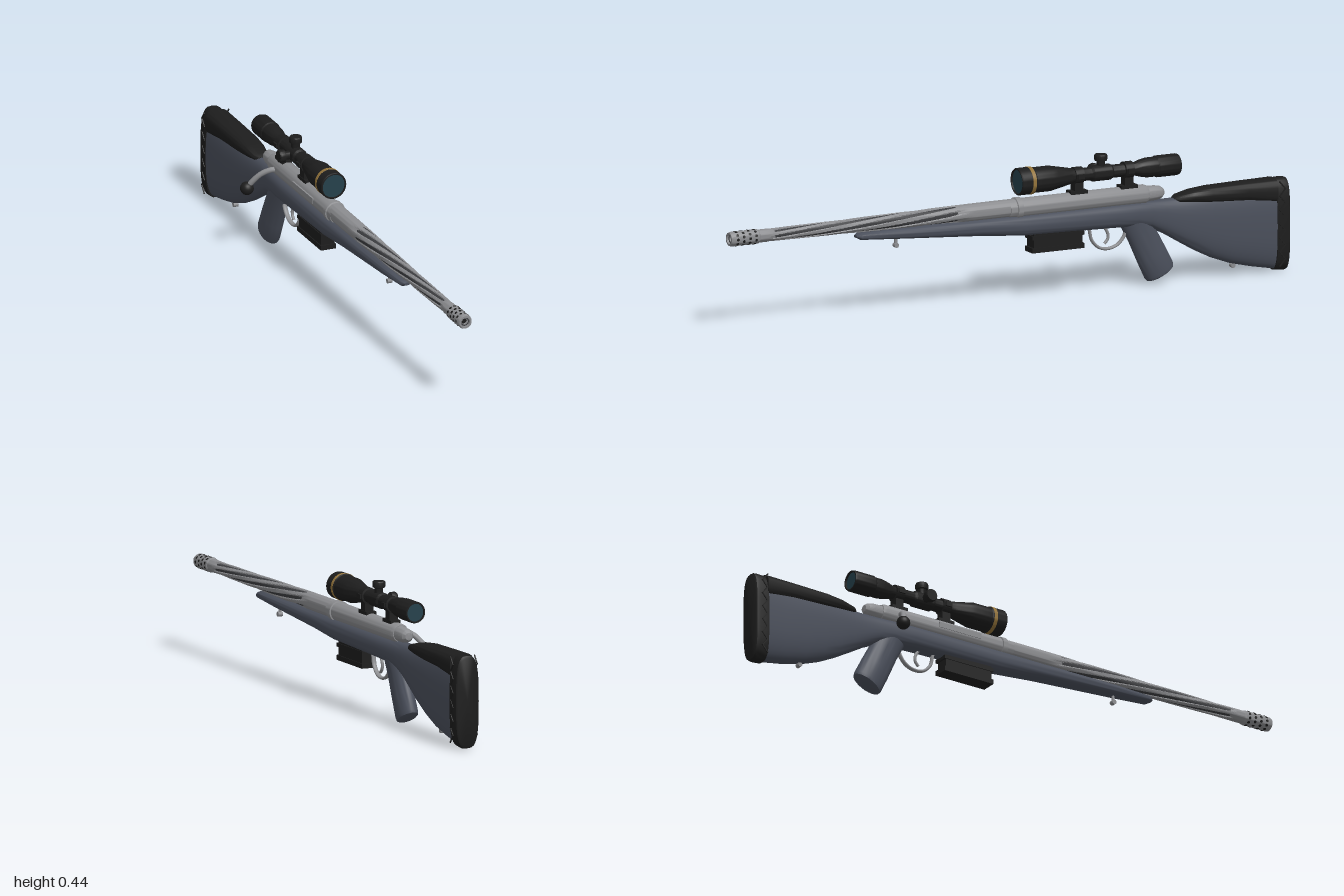
import * as THREE from 'three';
import { toCreasedNormals } from 'three/addons/utils/BufferGeometryUtils.js';

const mat = (color) => new THREE.MeshStandardMaterial({ color });
const V = (x, y, z) => new THREE.Vector3(x, y, z);

// Closed skin over rings of points; rings run from front (+z) to back
function skin(rings, crease = 0.7) {
  const n = rings[0].length, pos = [];
  const tri = (...p) => p.forEach((v) => pos.push(v.x, v.y, v.z));
  for (let i = 0; i < rings.length - 1; i++) {
    for (let j = 0; j < n; j++) {
      const k = (j + 1) % n, a = rings[i], b = rings[i + 1];
      tri(a[j], b[j], a[k]);
      tri(a[k], b[j], b[k]);
    }
  }
  const mid = (r) => r.reduce((s, p) => s.add(p), V(0, 0, 0)).divideScalar(n);
  const first = rings[0], last = rings[rings.length - 1];
  const c0 = mid(first), c1 = mid(last);
  for (let j = 0; j < n; j++) {
    const k = (j + 1) % n;
    tri(c0, first[j], first[k]);
    tri(c1, last[k], last[j]);
  }
  const g = new THREE.BufferGeometry();
  g.setAttribute('position', new THREE.Float32BufferAttribute(pos, 3));
  return toCreasedNormals(g, crease);
}

// Rounded cross-sections, each [z, bottom, top, half width]
function loft(sections, power = 2.6, n = 32) {
  const f = (t) => Math.sign(t) * Math.abs(t) ** (2 / power);
  return skin(sections.map(([z, lo, hi, w]) => Array.from({ length: n }, (_, j) => {
    const a = (j / n) * Math.PI * 2;
    return V(w * f(Math.cos(a)), (lo + hi) / 2 + ((hi - lo) / 2) * f(Math.sin(a)), z);
  })));
}

// Turned part along z, profile [radius, z] from back to front
function turned(profile, n = 32) {
  const g = new THREE.LatheGeometry(profile.map(([r, z]) => new THREE.Vector2(r, z)), n);
  return toCreasedNormals(g.rotateX(Math.PI / 2), 0.5);
}

const tube = (pts, r) => new THREE.TubeGeometry(new THREE.CatmullRomCurve3(pts), 28, r, 10);

export function createModel() {
  const model = new THREE.Group();
  model.position.x = 0.041;
  const steel = mat(0x8c8d90), dark = mat(0x3c3d40), black = mat(0x1d1d1d);
  const paint = mat(0x4a4f5b), gold = mat(0x94743a), glass = mat(0x25404b);
  const add = (name, geo, m, x = 0, y = 0, z = 0, parent = model) => {
    const mesh = new THREE.Mesh(geo, m);
    mesh.name = name;
    mesh.position.set(x, y, z);
    parent.add(mesh);
    return mesh;
  };
  const AXIS = 0.3, SIGHT = 0.383;

  // Stock from fore-end tip to butt
  add('stock', loft([
    [0.545, 0.26, 0.268, 0.01], [0.53, 0.252, 0.275, 0.022], [0.4, 0.243, 0.277, 0.029],
    [0.1, 0.222, 0.277, 0.034], [-0.05, 0.208, 0.277, 0.038], [-0.38, 0.2, 0.277, 0.038],
    [-0.46, 0.196, 0.276, 0.035], [-0.51, 0.187, 0.275, 0.032], [-0.56, 0.163, 0.275, 0.031],
    [-0.61, 0.133, 0.275, 0.033], [-0.67, 0.098, 0.28, 0.036], [-0.73, 0.068, 0.285, 0.038],
    [-0.8, 0.042, 0.288, 0.04], [-0.88, 0.023, 0.292, 0.041], [-0.96, 0.008, 0.296, 0.041],
  ]), paint);
  add('cheekRest', loft([
    [-0.595, 0.265, 0.276, 0.012], [-0.61, 0.261, 0.284, 0.026], [-0.66, 0.256, 0.295, 0.035],
    [-0.72, 0.25, 0.301, 0.039], [-0.85, 0.24, 0.304, 0.041], [-0.955, 0.222, 0.306, 0.042],
  ], 3), black);
  add('buttPad', loft([
    [-0.952, 0.006, 0.304, 0.042], [-0.985, 0.003, 0.306, 0.042],
    [-0.996, 0.006, 0.304, 0.04], [-1, 0.014, 0.296, 0.035],
  ], 3.2), black);
  // Criss-cross strips on both sides of the pad
  const strip = new THREE.BoxGeometry(0.003, 0.034, 0.004);
  for (const side of [-1, 1]) {
    for (let i = 0; i < 12; i++) {
      const s = add('padStrip', strip, black, side * 0.0425, 0.035 + i * 0.0228, -0.969);
      s.rotation.x = i % 2 ? 0.7 : -0.7;
    }
  }

  // Pistol grip, leaning back
  const gripShape = turned([
    [0, -0.106], [0.043, -0.106], [0.051, -0.102], [0.054, -0.092], [0.053, -0.03],
    [0.05, 0.05], [0.052, 0.105], [0, 0.105],
  ]).rotateX(-Math.PI / 2).scale(0.6, 1, 1);
  add('grip', gripShape, paint, 0, 0.127, -0.504).rotation.x = 0.464;

  // Barrel with twisting flutes; a dark core shows in the grooves
  const radius = (z) => 0.021 + 0.008 * THREE.MathUtils.smoothstep(0.87 - z, 0, 0.85);
  const rings = [];
  for (let i = 0; i <= 90; i++) {
    const z = 0.91 - (i / 90) * 0.96;
    const fade = THREE.MathUtils.smoothstep(z, 0.12, 0.24) * (1 - THREE.MathUtils.smoothstep(z, 0.82, 0.87));
    rings.push(Array.from({ length: 72 }, (_, j) => {
      const a = (j / 72) * Math.PI * 2;
      const groove = Math.max(0, Math.cos(6 * (a + 4 * z)) + 0.15);
      const r = radius(z) - 0.006 * fade * Math.min(1, groove * 1.4);
      return V(r * Math.cos(a), r * Math.sin(a), z);
    }));
  }
  add('barrel', skin(rings, 0.5), steel, 0, AXIS);
  const core = [];
  for (let z = 0.12; z < 0.88; z += 0.05) core.push([radius(z) - 0.0035, z]);
  add('fluteCore', turned(core), dark, 0, AXIS);

  // Muzzle brake with rows of ports
  const brake = new THREE.Group();
  brake.name = 'muzzleBrake';
  brake.position.y = AXIS;
  model.add(brake);
  add('brakeBody', turned([
    [0.02, 0.895], [0.0235, 0.9], [0.0235, 0.994], [0.021, 1], [0.015, 1],
    [0.014, 0.992], [0.009, 0.992], [0.009, 0.93], [0, 0.93],
  ]), steel, 0, 0, 0, brake);
  add('bore', new THREE.CircleGeometry(0.009, 20), black, 0, 0, 0.985, brake);
  add('crownRecess', new THREE.RingGeometry(0.0105, 0.0145, 28), dark, 0, 0, 0.9935, brake);
  const port = new THREE.CylinderGeometry(0.0048, 0.0048, 0.003, 10);
  for (let row = 0; row < 4; row++) {
    for (let i = 0; i < 10; i++) {
      const a = ((i + (row % 2) / 2) / 10) * Math.PI * 2;
      const p = add('port', port, black, -Math.sin(a) * 0.0227, Math.cos(a) * 0.0227, 0.912 + row * 0.022, brake);
      p.rotation.z = a;
    }
  }

  // Receiver, bolt and handle
  add('receiver', turned([
    [0, -0.5], [0.027, -0.5], [0.031, -0.49], [0.031, -0.045], [0.035, -0.044],
    [0.035, -0.026], [0.031, -0.024], [0.03, 0], [0, 0],
  ]), steel, 0, AXIS - 0.002);
  add('boltShroud', turned([
    [0, -0.562], [0.012, -0.56], [0.02, -0.55], [0.024, -0.53], [0.025, -0.49], [0, -0.49],
  ]), steel, 0, AXIS - 0.002);
  add('ejectionPort', new THREE.BoxGeometry(0.006, 0.018, 0.16), steel, -0.03, AXIS + 0.002, -0.21);
  add('boltHandle', tube([
    V(-0.015, 0.296, -0.435), V(-0.04, 0.295, -0.442), V(-0.068, 0.281, -0.455),
    V(-0.09, 0.257, -0.468), V(-0.104, 0.235, -0.478),
  ], 0.009), steel);
  add('boltKnob', new THREE.SphereGeometry(0.022, 24, 16), black, -0.106, 0.229, -0.48);

  // Magazine
  add('magazine', new THREE.BoxGeometry(0.046, 0.06, 0.175), black, 0, 0.187, -0.172);
  add('magazineFloor', new THREE.BoxGeometry(0.052, 0.016, 0.187), black, 0, 0.158, -0.172);
  add('magazineCollar', new THREE.BoxGeometry(0.052, 0.012, 0.187), black, 0, 0.199, -0.172);

  // Trigger and guard
  add('triggerGuard', tube([
    V(0, 0.205, -0.295), V(0, 0.165, -0.305), V(0, 0.14, -0.33), V(0, 0.133, -0.36),
    V(0, 0.142, -0.395), V(0, 0.168, -0.42), V(0, 0.2, -0.43),
  ], 0.005).scale(1.6, 1, 1), steel);
  add('trigger', tube([
    V(0, 0.205, -0.35), V(0, 0.183, -0.362), V(0, 0.165, -0.362), V(0, 0.15, -0.35),
  ], 0.005), steel);

  // Sling studs
  for (const [y, z] of [[0.235, 0.4], [0.048, -0.81]]) {
    add('slingStud', new THREE.CylinderGeometry(0.005, 0.005, 0.03, 12), steel, 0, y, z);
    add('slingStudHead', new THREE.CylinderGeometry(0.008, 0.008, 0.016, 12), steel, 0, y - 0.014, z).rotation.z = Math.PI / 2;
  }

  // Scope
  const scope = new THREE.Group();
  scope.name = 'scope';
  scope.position.y = SIGHT;
  model.add(scope);
  add('scopeBody', turned([
    [0.029, -0.602], [0.029, -0.612], [0.033, -0.612], [0.035, -0.606], [0.035, -0.535],
    [0.032, -0.53], [0.032, -0.5], [0.027, -0.475], [0.021, -0.455], [0.021, -0.375],
    [0.026, -0.368], [0.026, -0.305], [0.021, -0.298], [0.021, -0.245], [0.027, -0.22],
    [0.037, -0.17], [0.041, -0.15], [0.041, -0.09], [0.044, -0.086], [0.044, -0.038],
    [0.042, -0.035], [0.039, -0.035], [0.039, -0.045],
  ], 40), black, 0, 0, 0, scope);
  add('goldBand', turned([[0.043, -0.086], [0.0448, -0.085], [0.0448, -0.073], [0.043, -0.072]], 40), gold, 0, 0, 0, scope);
  add('frontLens', new THREE.CircleGeometry(0.04, 36), glass, 0, 0, -0.041, scope);
  add('rearLens', new THREE.CircleGeometry(0.03, 36), glass, 0, 0, -0.606, scope).rotation.y = Math.PI;

  // Adjustment turrets on the top and right
  const turret = toCreasedNormals(new THREE.LatheGeometry([
    [0.014, 0], [0.014, 0.038], [0.02, 0.04], [0.021, 0.044], [0.021, 0.056], [0.019, 0.06], [0, 0.06],
  ].map(([r, y]) => new THREE.Vector2(r, y)), 24), 0.5);
  add('topTurret', turret, black, 0, 0, -0.337, scope);
  add('sideTurret', turret, black, 0, 0, -0.337, scope).rotation.z = Math.PI / 2;

  // Mount rings and bases
  for (const z of [-0.252, -0.432]) {
    add('mountRing', turned([[0.02, -0.016], [0.027, -0.015], [0.027, 0.015], [0.02, 0.016]]), black, 0, 0, z, scope);
    add('mountPost', new THREE.BoxGeometry(0.03, 0.036, 0.03), black, 0, -0.039, z, scope);
    add('mountBase', new THREE.BoxGeometry(0.034, 0.016, 0.06), black, 0, -0.056, z, scope);
    for (const x of [-0.027, 0.027]) {
      add('ringClamp', new THREE.BoxGeometry(0.01, 0.014, 0.024), black, x, 0, z, scope);
    }
  }
  return model;
}
